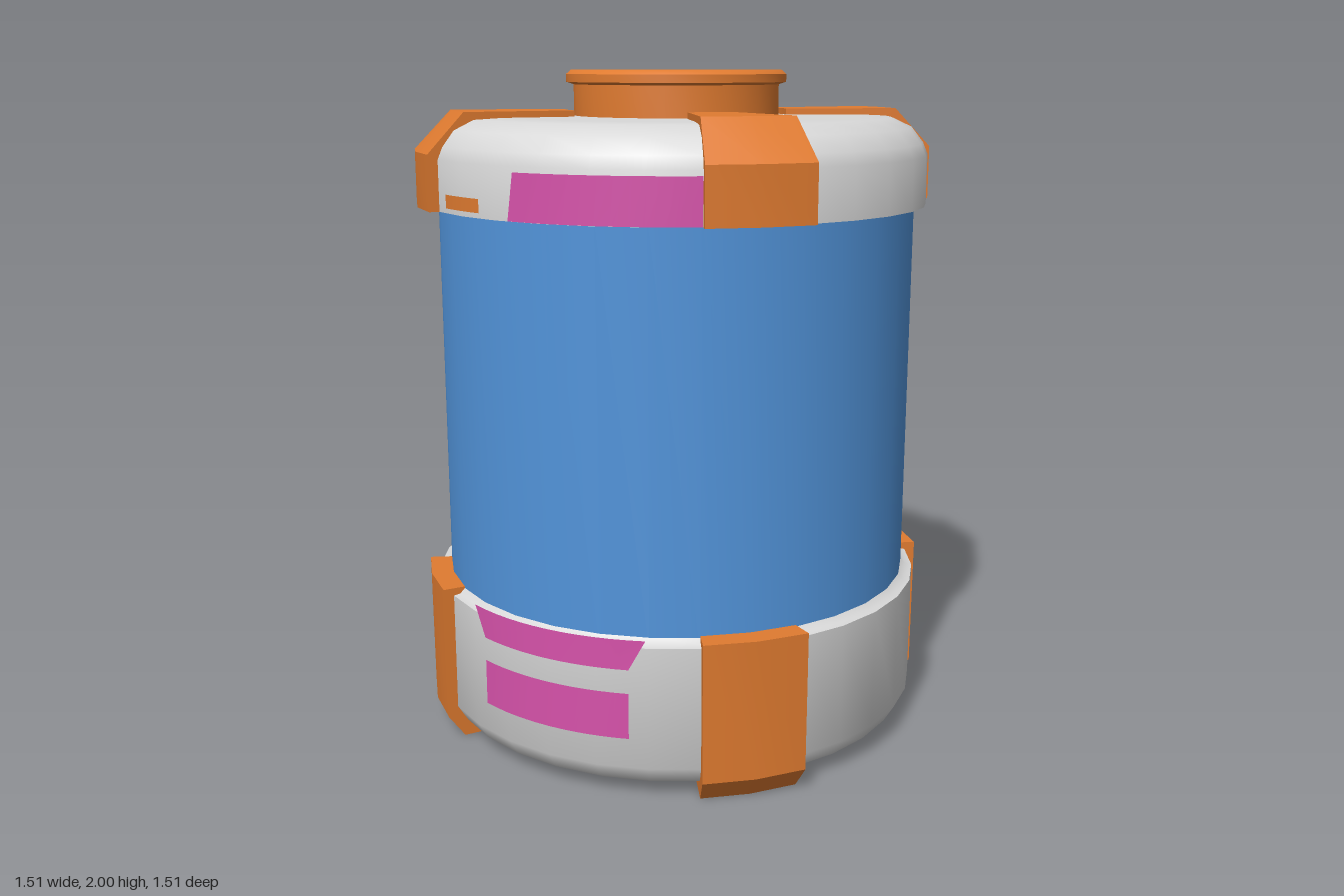
import * as THREE from 'three';
import { mergeGeometries, toCreasedNormals } from 'three/addons/utils/BufferGeometryUtils.js';

const SIDES = 32;
const STEP = (Math.PI * 2) / SIDES;

const material = (name, color) => {
  const m = new THREE.MeshStandardMaterial({ color });
  m.name = name;
  return m;
};

const points = (list) => list.map(([r, y]) => new THREE.Vector2(r, y));

// Full turned part from a profile running bottom to top
const turned = (profile) =>
  toCreasedNormals(new THREE.LatheGeometry(points(profile), SIDES), 0.75);

// Solid slice of a turned part, two facets wide, from a closed counter-clockwise profile
function wedge(profile, centre) {
  const start = centre - STEP;
  const ring = points([...profile, profile[0]]);
  const skin = new THREE.LatheGeometry(ring, 2, start, STEP * 2);
  const cap = (phi, flip) => {
    const g = new THREE.ShapeGeometry(new THREE.Shape(points(profile)));
    if (flip) g.setIndex(Array.from(g.index.array).reverse());
    return g.rotateY(phi - Math.PI / 2);
  };
  const solid = mergeGeometries([skin, cap(start, false), cap(start + STEP * 2, true)]);
  return toCreasedNormals(solid, 0.4);
}

// Thin plate wrapped on the front of the drum: x extents at its bottom and top edges
function plate(bottom, top, y0, y1, radius = 0.758) {
  const g = new THREE.PlaneGeometry(1, 1, 12, 1);
  const p = g.attributes.position;
  for (let i = 0; i < p.count; i++) {
    const u = p.getX(i) + 0.5, v = p.getY(i) + 0.5;
    const left = THREE.MathUtils.lerp(bottom[0], top[0], v);
    const right = THREE.MathUtils.lerp(bottom[1], top[1], v);
    const x = THREE.MathUtils.lerp(left, right, u);
    p.setXYZ(i, x, THREE.MathUtils.lerp(y0, y1, v), Math.sqrt(radius * radius - x * x));
  }
  g.computeVertexNormals();
  return g;
}

export function createModel() {
  const group = new THREE.Group();
  group.name = 'canister';
  const blue = material('blue', 0x5294da);
  const grey = material('light grey', 0xd8d8d8);
  const orange = material('orange', 0xe07b30);
  const pink = material('magenta', 0xd652aa);
  pink.side = THREE.DoubleSide;
  const panelOrange = material('orange panel', 0xe07b30);
  panelOrange.side = THREE.DoubleSide;

  const add = (name, geometry, mat) => {
    const mesh = new THREE.Mesh(geometry, mat);
    mesh.name = name;
    group.add(mesh);
  };

  // Drum and its two end rings
  add('drum', turned([[0.72, 0.44], [0.72, 1.63]]), blue);
  add('base', turned([
    [0, 0.035], [0.70, 0.035], [0.725, 0.05], [0.755, 0.1],
    [0.755, 0.46], [0.735, 0.463], [0.715, 0.483],
  ]), grey);
  add('shoulder', turned([
    [0.71, 1.61], [0.755, 1.61], [0.755, 1.755], [0.74, 1.79],
    [0.705, 1.835], [0.645, 1.863], [0.56, 1.867], [0, 1.867],
  ]), grey);

  // Screw lid
  add('lid', turned([
    [0.308, 1.85], [0.308, 1.958], [0.33, 1.965], [0.33, 1.988], [0.316, 2], [0, 2],
  ]), orange);

  // Four clamps above and four feet below, on the diagonals
  const clamp = [
    [0.74, 1.61], [0.785, 1.61], [0.785, 1.77], [0.675, 1.885],
    [0.335, 1.885], [0.335, 1.86], [0.64, 1.855], [0.74, 1.76],
  ];
  const foot = [
    [0.39, 0], [0.735, 0], [0.785, 0.07], [0.787, 0.483],
    [0.715, 0.483], [0.74, 0.44], [0.74, 0.1], [0.69, 0.04], [0.39, 0.04],
  ];
  for (let i = 0; i < 4; i++) {
    const angle = Math.PI / 4 + (i * Math.PI) / 2;
    add('clamp', wedge(clamp, angle), orange);
    add('foot', wedge(foot, angle), orange);
  }

  // Front panels
  add('upperPanel', plate([-0.1, 0.42], [-0.08, 0.42], 1.611, 1.74), pink);
  add('smallPanel', plate([-0.37, -0.21], [-0.37, -0.21], 1.625, 1.663), panelOrange);
  add('lowerTrim', plate([-0.24, 0.24], [-0.285, 0.285], 0.395, 0.483), pink);
  add('lowerPanel', plate([-0.24, 0.24], [-0.24, 0.24], 0.19, 0.325), pink);

  return group;
}
